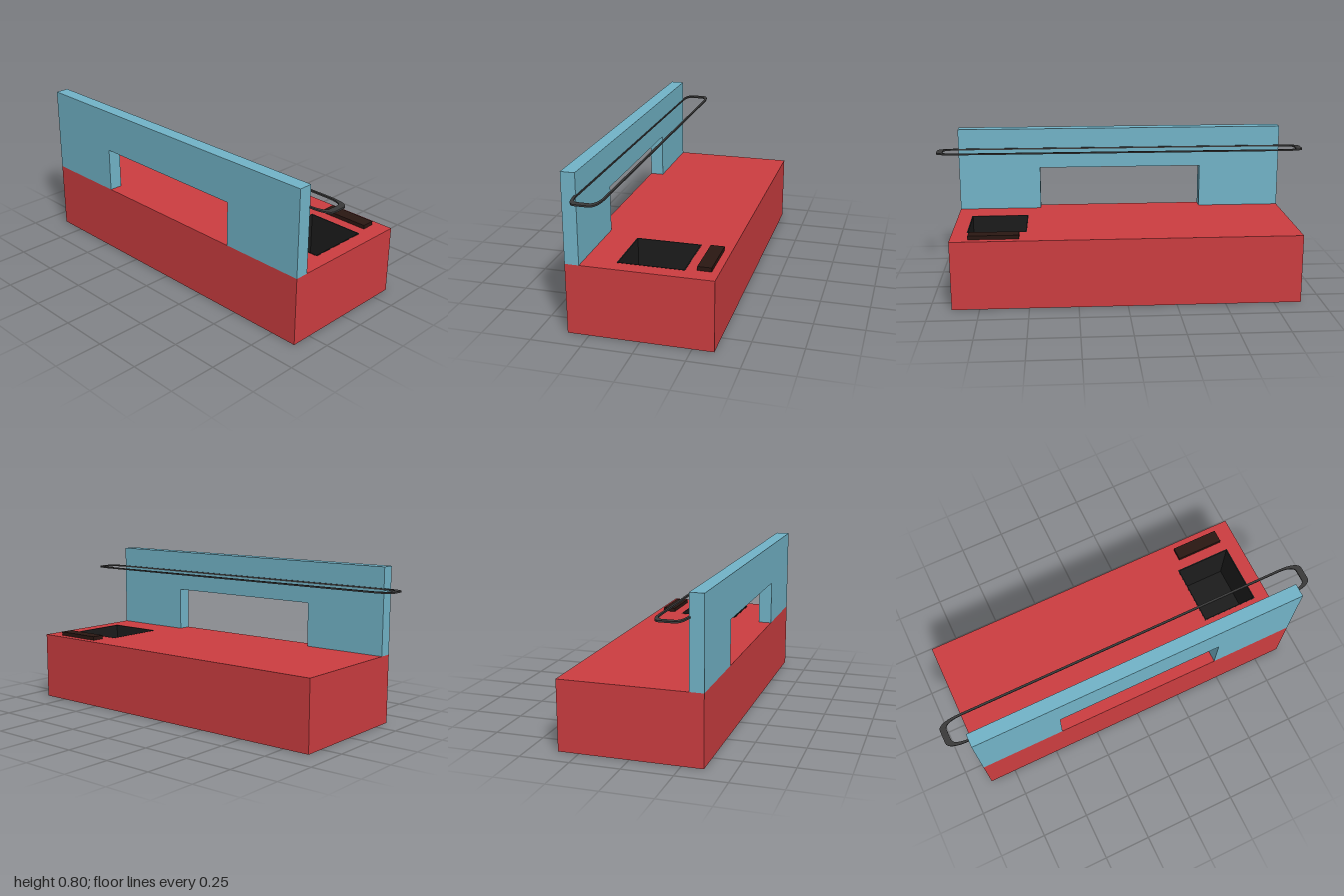
import * as THREE from 'three';

const mat = (color) => new THREE.MeshStandardMaterial({ color });
const RED = mat(0xcc3d40), BLUE = mat(0x72b4c8), BLACK = mat(0x1c1c1c), DARK = mat(0x3a3a3a), BROWN = mat(0x2a1712);

const BODY = { x0: -0.357, x1: 0.355, z: 0.89, h: 0.355 };
const HOLE = { x0: -0.13, x1: 0.197, z0: 0.51, z1: 0.815, floor: 0.06 };

// Closed rectangle path in plan: shape x = x, shape y = -z
function rect(Type, x0, x1, z0, z1) {
  return new Type([[x0, -z1], [x1, -z1], [x1, -z0], [x0, -z0]].map(([x, y]) => new THREE.Vector2(x, y)));
}

// Extrudes a plan shape upwards from y
function slab(shape, y, height, curveSegments = 12) {
  const g = new THREE.ExtrudeGeometry(shape, { depth: height, bevelEnabled: false, curveSegments });
  return g.rotateX(-Math.PI / 2).translate(0, y, 0);
}

// Long loop with softly squared ends, centred on x = cx
function loopPath(path, cx, a, straight, end) {
  const k = a * 0.45, b = straight + (end - straight) * 0.6;
  path.moveTo(cx + a, -straight);
  path.lineTo(cx + a, straight);
  path.bezierCurveTo(cx + a, b, cx + a * 0.8, end, cx + k, end);
  path.lineTo(cx - k, end);
  path.bezierCurveTo(cx - a * 0.8, end, cx - a, b, cx - a, straight);
  path.lineTo(cx - a, -straight);
  path.bezierCurveTo(cx - a, -b, cx - a * 0.8, -end, cx - k, -end);
  path.lineTo(cx + k, -end);
  path.bezierCurveTo(cx + a * 0.8, -end, cx + a, -b, cx + a, -straight);
  return path;
}

export function createModel() {
  const model = new THREE.Group();
  const add = (name, geometry, material) => {
    const mesh = new THREE.Mesh(geometry, material);
    mesh.name = name;
    model.add(mesh);
  };
  const box = (x0, x1, y0, y1, z0, z1) =>
    new THREE.BoxGeometry(x1 - x0, y1 - y0, z1 - z0).translate((x0 + x1) / 2, (y0 + y1) / 2, (z0 + z1) / 2);

  // Counter body: solid base below a block pierced by the bin opening
  const { x0, x1, z, h } = BODY;
  add('counterBase', box(x0, x1, 0, HOLE.floor, -z, z), RED);
  const top = rect(THREE.Shape, x0, x1, -z, z);
  top.holes.push(rect(THREE.Path, HOLE.x0, HOLE.x1, HOLE.z0, HOLE.z1));
  add('counterTop', slab(top, HOLE.floor, h - HOLE.floor), RED);

  // Dark lining of the bin opening: thin walls and a floor
  const t = 0.006;
  const lining = rect(THREE.Shape, HOLE.x0, HOLE.x1, HOLE.z0, HOLE.z1);
  lining.holes.push(rect(THREE.Path, HOLE.x0 + t, HOLE.x1 - t, HOLE.z0 + t, HOLE.z1 - t));
  add('binLining', slab(lining, HOLE.floor, h - HOLE.floor + 0.001), BLACK);
  add('binFloor', box(HOLE.x0, HOLE.x1, HOLE.floor, HOLE.floor + t, HOLE.z0, HOLE.z1), BLACK);

  // Blank raised label beside the bin
  add('binLabel', box(0.25, 0.318, h, 0.375, 0.545, 0.8), BROWN);

  // Upright wall with a serving opening, drawn in z and y
  const wall = new THREE.Shape([
    [-z, h], [-0.445, h], [-0.445, 0.585], [0.445, 0.585], [0.445, h], [z, h], [z, 0.803], [-z, 0.803],
  ].map(([u, v]) => new THREE.Vector2(u, v)));
  const wallGeometry = new THREE.ExtrudeGeometry(wall, { depth: 0.07, bevelEnabled: false });
  add('wall', wallGeometry.rotateY(-Math.PI / 2).translate(-0.287, 0, 0), BLUE);

  // Flat hanging rail, thicker at its two ends
  const rail = loopPath(new THREE.Shape(), -0.22, 0.073, 0.89, 1);
  rail.holes.push(loopPath(new THREE.Path(), -0.22, 0.062, 0.88, 0.968));
  add('rail', slab(rail, 0.689, 0.008, 10), DARK);

  return model;
}
